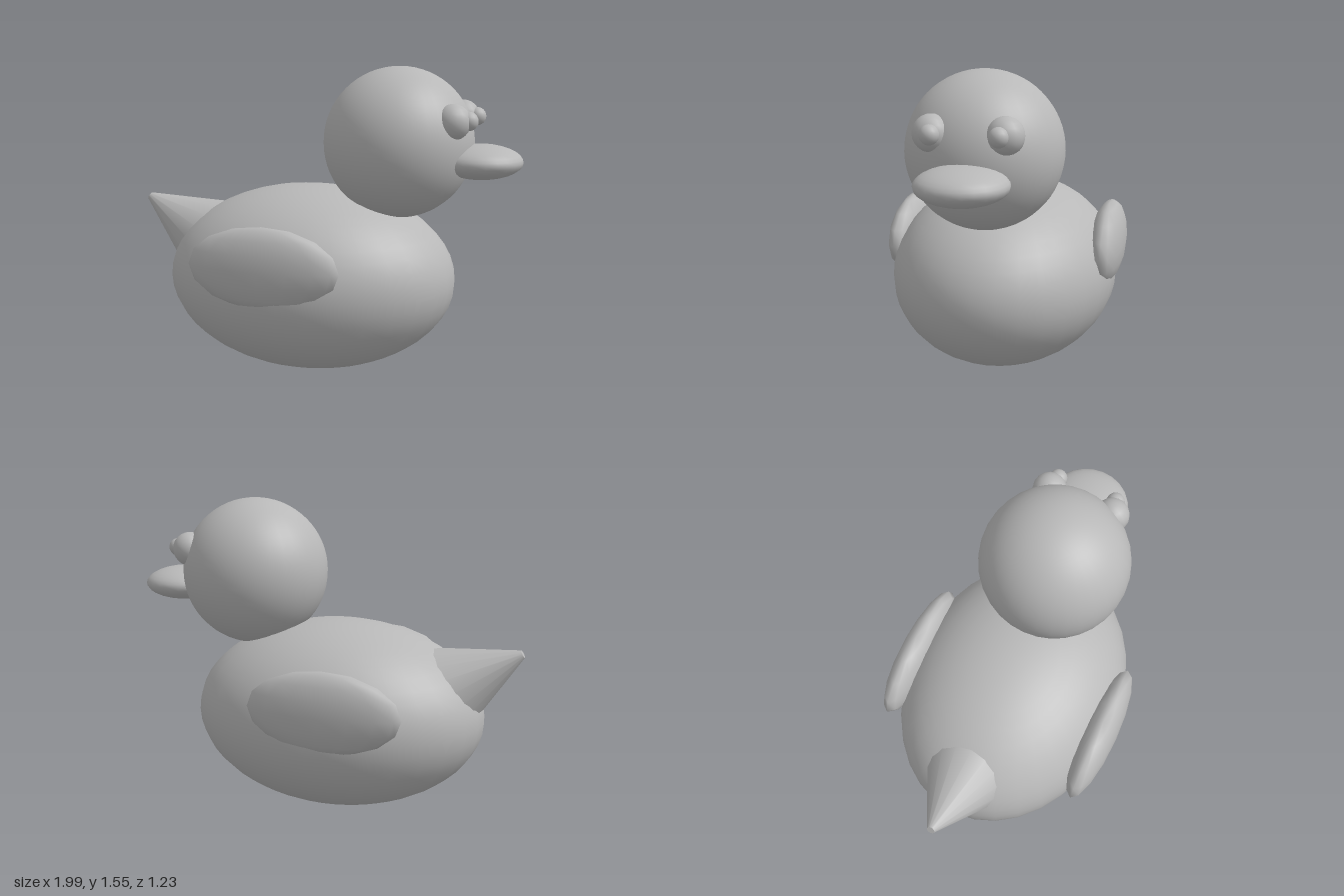
import * as THREE from 'three';

export function createModel() {
  const duck = new THREE.Group();
  duck.name = 'duck';
  const grey = new THREE.MeshStandardMaterial({ color: 0xb8b8b8 });
  grey.name = 'plain grey';

  const add = (name, geometry, position) => {
    const mesh = new THREE.Mesh(geometry, grey);
    mesh.name = name;
    mesh.position.set(...position);
    duck.add(mesh);
    return mesh;
  };
  const ellipsoid = (name, position, radii, around = 32, rings = 16) =>
    add(name, new THREE.SphereGeometry(1, around, rings).scale(...radii), position);

  // Body, head and flat bill; the duck looks along +x
  ellipsoid('body', [-0.07, 0.48, 0], [0.75, 0.475, 0.575], 32, 24);
  ellipsoid('head', [0.385, 1.185, 0], [0.372, 0.372, 0.372], 32, 32);
  ellipsoid('bill', [0.785, 1.105, 0], [0.208, 0.085, 0.21], 24, 16);

  // Paired wings, eyes and pupils
  for (const [side, s] of [['left', 1], ['right', -1]]) {
    ellipsoid(`${side}Wing`, [-0.145, 0.63, s * 0.525], [0.375, 0.2, 0.09], 16, 8);
    ellipsoid(`${side}Eye`, [0.675, 1.305, s * 0.165], [0.085, 0.085, 0.085], 16, 12);
    ellipsoid(`${side}Pupil`, [0.747, 1.31, s * 0.152], [0.045, 0.045, 0.045], 16, 12);
  }

  // Blunt cone tail, rising backwards from the rump
  const length = 0.38;
  const tilt = Math.PI / 6;
  const tail = add('tail', new THREE.CylinderGeometry(0.02, 0.21, length, 16), [
    -0.99 + Math.cos(tilt) * length / 2,
    0.848 - Math.sin(tilt) * length / 2,
    0,
  ]);
  tail.rotation.z = Math.PI / 2 - tilt;

  return duck;
}
